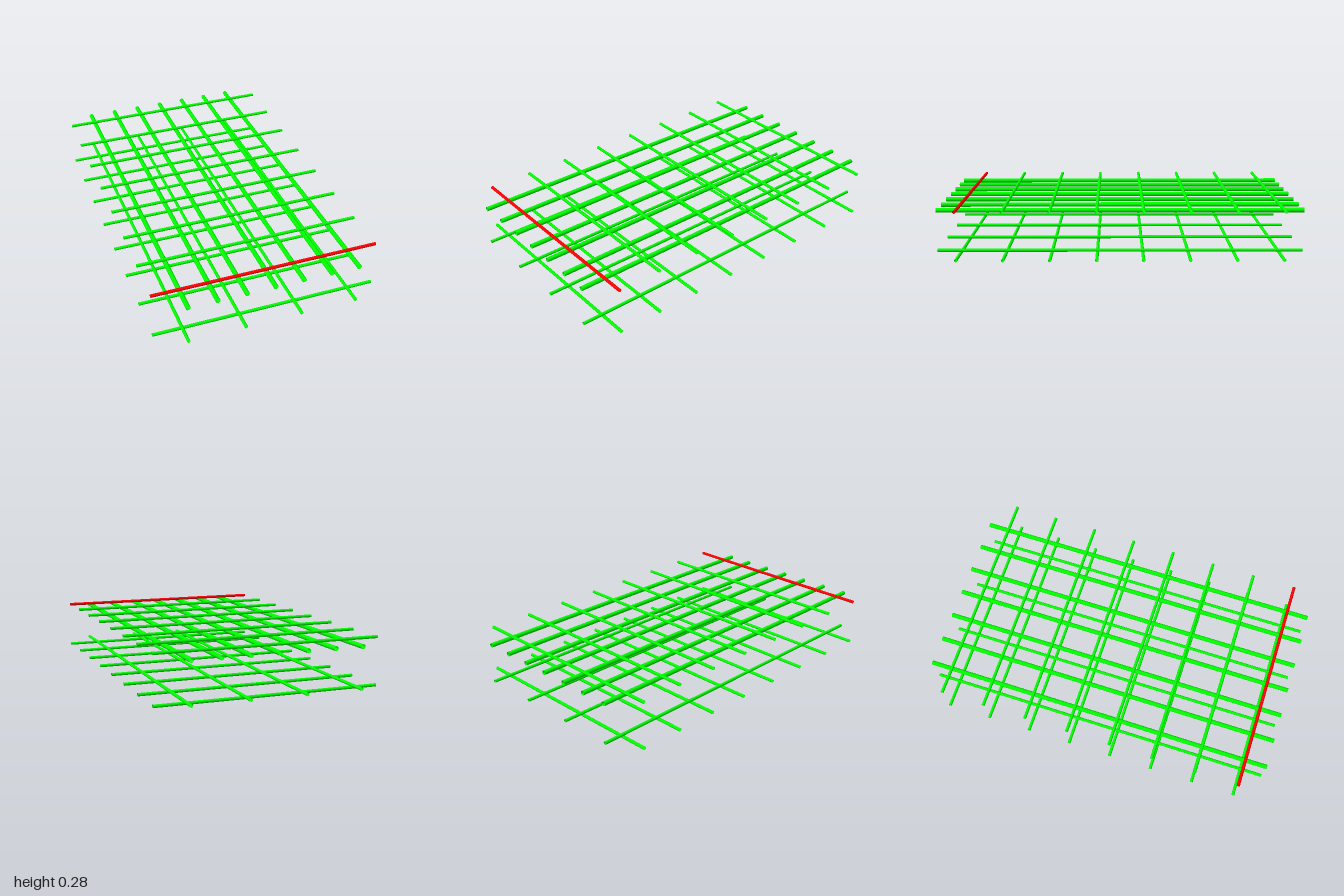
import * as THREE from 'three';

const LENGTH = 2, WIDTH = 1.25;
const THICK = 0.0125, THIN = 0.00875; // bar radii

const green = new THREE.MeshStandardMaterial({ color: 0x00ff00, side: THREE.DoubleSide });
const red = new THREE.MeshStandardMaterial({ color: 0xff0000, side: THREE.DoubleSide });

// Open-ended round bars, running along z or along x
const longBar = (r) => new THREE.CylinderGeometry(r, r, LENGTH, 16, 1, true).rotateX(Math.PI / 2);
const crossBar = (r) => new THREE.CylinderGeometry(r, r, WIDTH, 16, 1, true).rotateZ(Math.PI / 2);

// One layer of evenly spaced parallel bars, centred on the spread axis
function barLayer(name, geometry, axis, count, spacing, y) {
  const layer = new THREE.Group();
  layer.name = name + 'Layer';
  for (let i = 0; i < count; i++) {
    const bar = new THREE.Mesh(geometry, green);
    bar.name = name + (i + 1);
    bar.position.y = y;
    bar.position[axis] = (i - (count - 1) / 2) * spacing;
    layer.add(bar);
  }
  return layer;
}

export function createModel() {
  const model = new THREE.Group();
  model.name = 'reinforcementMat';

  // Bottom mat: cross bars on the floor, thin long bars resting on them
  model.add(barLayer('bottomCrossBar', crossBar(THIN), 'z', 8, 0.25, THIN));
  model.add(barLayer('bottomLongBar', longBar(THIN), 'x', 4, 0.3125, 3 * THIN));

  // Top mat: thick long bars with thin cross bars on top
  const topY = 0.25;
  model.add(barLayer('topLongBar', longBar(THICK), 'x', 7, 0.15625, topY));
  const topCross = barLayer('topCrossBar', crossBar(THIN), 'z', 8, 0.25, topY + THICK + THIN);
  model.add(topCross);

  // Front cross bar is marked red
  const marked = topCross.children[7];
  marked.material = red;
  marked.name = 'redFrontCrossBar';

  return model;
}
